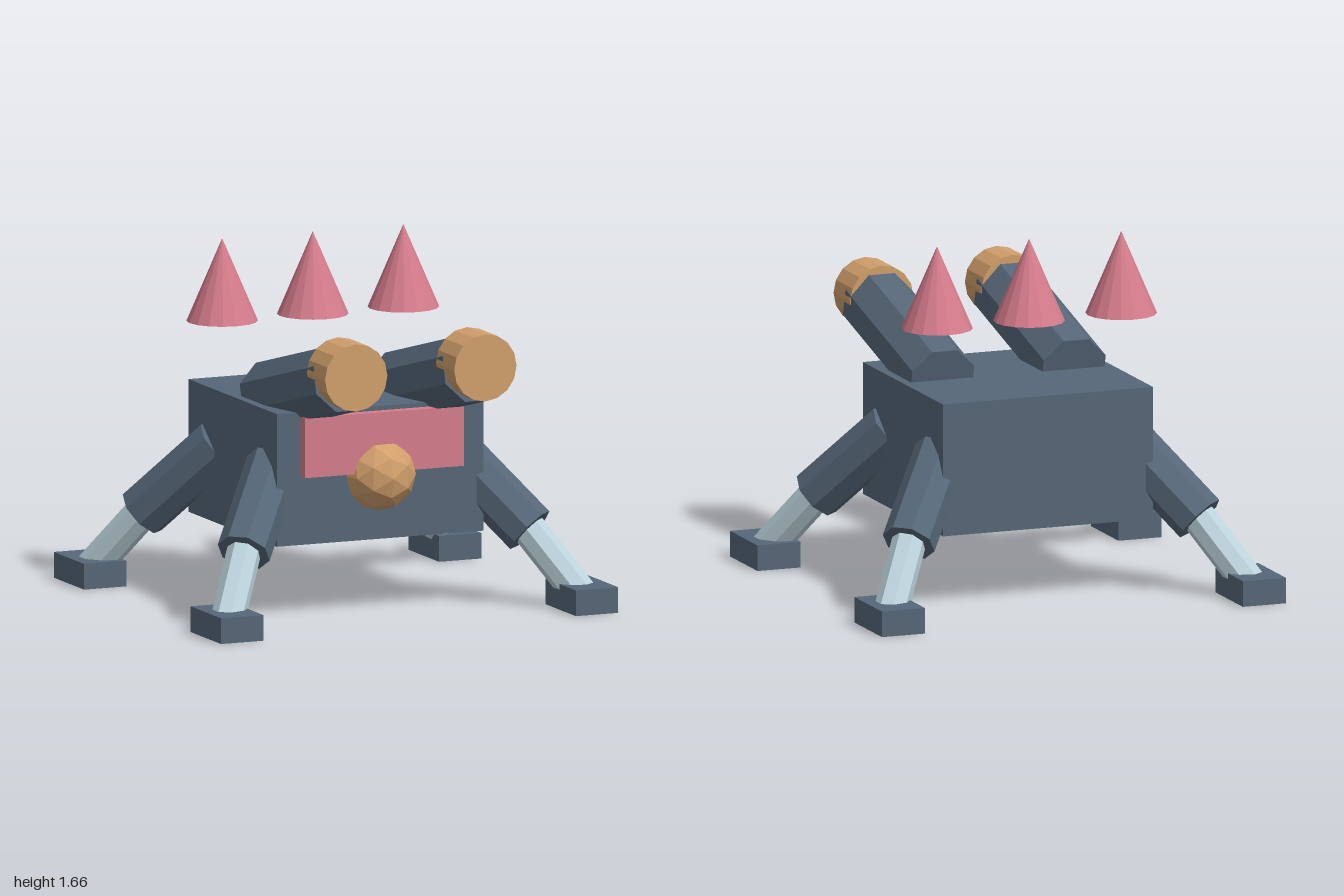
import * as THREE from 'three';

function material(name, color) {
  const m = new THREE.MeshStandardMaterial({ color });
  m.name = name;
  return m;
}

export function createModel() {
  const slate = material('slate', 0x566778);
  const pink = material('pink', 0xd67c8c);
  const tan = material('tan', 0xd19f6b);
  const ice = material('paleBlue', 0xbcd3dc);

  const model = new THREE.Group();
  model.name = 'walker';
  const midZ = -0.01; // fore-aft centre of body and legs

  function add(name, geometry, mat, x = 0, y = 0, z = 0, parent = model) {
    const flat = geometry.index ? geometry.toNonIndexed() : geometry;
    flat.computeVertexNormals(); // faceted look
    const mesh = new THREE.Mesh(flat, mat);
    mesh.name = name;
    mesh.position.set(x, y, z);
    parent.add(mesh);
    return mesh;
  }

  // Eight-sided rod between two points, with a flat side up
  function rod(name, from, to, radius, mat, parent) {
    const dir = to.clone().sub(from);
    const geometry = new THREE.CylinderGeometry(radius, radius, dir.length(), 8).rotateY(Math.PI / 8);
    const mid = from.clone().add(to).multiplyScalar(0.5);
    const mesh = add(name, geometry, mat, mid.x, mid.y, mid.z, parent);
    mesh.quaternion.setFromUnitVectors(new THREE.Vector3(0, 1, 0), dir.normalize());
    return mesh;
  }

  // Body, face plate and nose ball
  add('body', new THREE.BoxGeometry(1.04, 0.62, 1), slate, 0, 0.66, midZ);
  add('facePlate', new THREE.BoxGeometry(0.8, 0.28, 0.07), pink, 0, 0.81, 0.505);
  add('noseBall', new THREE.IcosahedronGeometry(0.174, 1), tan, 0, 0.652, 0.47);

  // Four legs, each with thigh, shin and foot
  for (const sx of [-1, 1]) {
    for (const sz of [-1, 1]) {
      const leg = new THREE.Group();
      leg.name = (sz > 0 ? 'front' : 'back') + (sx > 0 ? 'Left' : 'Right') + 'Leg';
      model.add(leg);
      const at = (x, y, z) => new THREE.Vector3(sx * x, y, midZ + sz * z);
      const hip = at(0.45, 0.7, 0.3);
      const knee = at(0.72, 0.35, 0.575);
      const ankle = at(0.895, 0.06, 0.775);
      rod('thigh', hip, knee, 0.125, slate, leg);
      rod('shin', knee.clone().lerp(ankle, -0.2), ankle, 0.08, ice, leg);
      add('foot', new THREE.BoxGeometry(0.213, 0.12, 0.344), slate, sx * 0.893, 0.064, midZ + sz * 0.775, leg);
    }
  }

  // Twin barrels with round muzzles
  for (const sx of [-1, 1]) {
    const x = sx * 0.325;
    rod('barrel', new THREE.Vector3(x, 0.964, -0.007), new THREE.Vector3(x, 1.18, 0.827), 0.166, slate, model);
    add('muzzle', new THREE.CylinderGeometry(0.157, 0.157, 0.206, 16).rotateX(Math.PI / 2), tan, x, 1.2, 0.847);
  }

  // Row of floating cones
  for (const x of [-0.456, 0, 0.456]) {
    add('spike', new THREE.ConeGeometry(0.165, 0.385, 16), pink, x, 1.47, -0.273);
  }

  return model;
}
